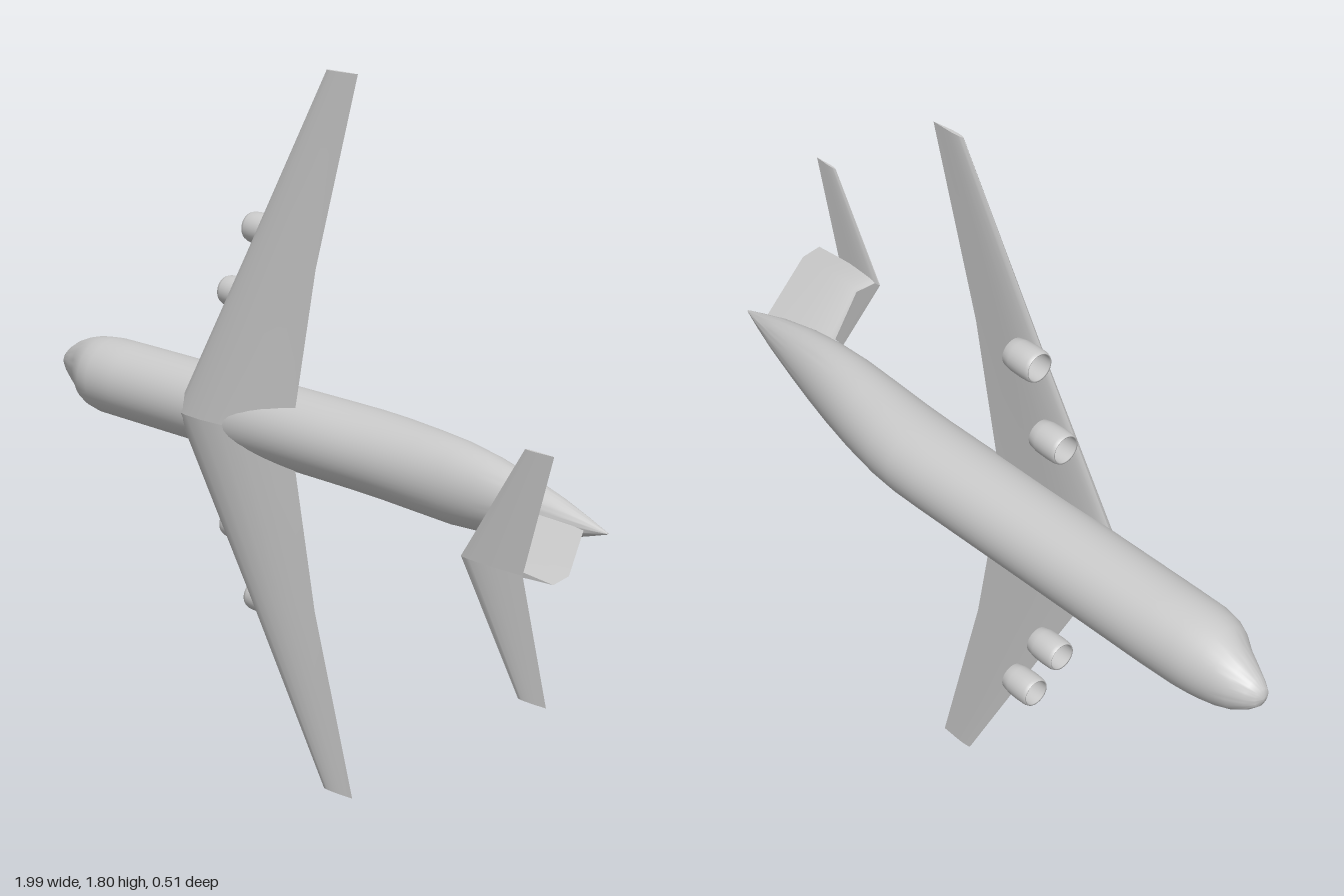
import * as THREE from 'three';
import { toCreasedNormals } from 'three/addons/utils/BufferGeometryUtils.js';

const material = new THREE.MeshStandardMaterial({ color: 0xcccccc, side: THREE.DoubleSide });

// Skin a list of equal-length rings of [x, y, z] and close both ends.
function loft(rings, crease = 0.6) {
  const n = rings[0].length;
  const pts = rings.flat();
  const idx = [];
  for (let i = 0; i < rings.length - 1; i++) {
    for (let j = 0; j < n; j++) {
      const a = i * n + j, b = i * n + (j + 1) % n;
      idx.push(a, b, a + n, b, b + n, a + n);
    }
  }
  const last = (rings.length - 1) * n;
  for (let j = 1; j < n - 1; j++) {
    idx.push(0, j + 1, j, last, last + j, last + j + 1);
  }
  // Turn the faces outwards whichever way the rings run.
  let volume = 0;
  const [a, b, c] = [new THREE.Vector3(), new THREE.Vector3(), new THREE.Vector3()];
  for (let i = 0; i < idx.length; i += 3) {
    a.fromArray(pts[idx[i]]);
    b.fromArray(pts[idx[i + 1]]);
    c.fromArray(pts[idx[i + 2]]);
    volume += a.dot(b.cross(c));
  }
  if (volume < 0) idx.reverse();
  const geo = new THREE.BufferGeometry();
  geo.setAttribute('position', new THREE.Float32BufferAttribute(pts.flat(), 3));
  geo.setIndex(idx);
  return toCreasedNormals(geo, crease);
}

// Airfoil outline: [chord fraction, thickness fraction], + is the upper side.
const FOIL = [
  [0, 0], [0.03, 0.4], [0.08, 0.66], [0.16, 0.88], [0.3, 1], [0.45, 0.92], [0.6, 0.73], [0.8, 0.38],
  [1, 0], [0.8, -0.28], [0.6, -0.6], [0.45, -0.8], [0.3, -0.9], [0.16, -0.8], [0.08, -0.6], [0.03, -0.38],
];

// Horizontal airfoil section at span position y.
const foil = (y, le, te, zLe, zTe, up, down) => FOIL.map(([t, h]) => [
  le + (te - le) * t, y, zLe + (zTe - zLe) * t + h * (h > 0 ? up : down),
]);

function createModel() {
  const group = new THREE.Group();
  const add = (name, geo) => {
    const mesh = new THREE.Mesh(geo, material);
    mesh.name = name;
    group.add(mesh);
    return mesh;
  };
  const MID = 0.9;

  // Fuselage stations along x: [x, belly z, back z, half width]
  const stations = [
    [-1, -0.157, -0.153, 0.003], [-0.993, -0.176, -0.134, 0.023], [-0.975, -0.192, -0.122, 0.04],
    [-0.94, -0.211, -0.104, 0.062], [-0.9, -0.223, -0.083, 0.078], [-0.86, -0.231, -0.055, 0.09],
    [-0.83, -0.236, -0.041, 0.095], [-0.79, -0.239, -0.034, 0.1], [-0.7, -0.243, -0.033, 0.1],
    [-0.3, -0.249, -0.034, 0.1], [0.03, -0.255, -0.034, 0.1], [0.12, -0.255, -0.034, 0.1],
    [0.2, -0.248, -0.033, 0.1], [0.32, -0.227, -0.029, 0.1], [0.43, -0.202, -0.027, 0.099],
    [0.53, -0.178, -0.028, 0.09], [0.63, -0.153, -0.033, 0.073], [0.74, -0.125, -0.047, 0.047],
    [0.82, -0.102, -0.064, 0.022], [0.88, -0.083, -0.078, 0.002],
  ];
  const SIDES = 48;
  add('fuselage', loft(stations.map(([x, lo, hi, w]) => Array.from({ length: SIDES }, (_, i) => {
    const t = (i / SIDES) * Math.PI * 2;
    return [x, MID + w * Math.cos(t), (lo + hi) / 2 + ((hi - lo) / 2) * Math.sin(t)];
  }))));

  for (const [label, s] of [['right', 1], ['left', -1]]) {
    // Swept wing with a kink in the trailing edge
    add(label + 'Wing', loft([
      foil(MID, -0.461, -0.08, -0.057, -0.075, 0.036, 0.014),
      foil(MID + s * 0.43, -0.236, -0.01, -0.08, -0.087, 0.018, 0.009),
      foil(MID + s * 0.9, 0.01, 0.105, -0.101, -0.104, 0.005, 0.004),
    ]));

    // Tailplane on top of the fin
    add(label + 'Tailplane', loft([
      foil(MID, 0.745, 0.915, 0.245, 0.246, 0.006, 0.006),
      foil(MID + s * 0.275, 0.912, 0.988, 0.246, 0.246, 0.003, 0.003),
    ]));

    // Open engine nacelles: [x, distance from the centre line]
    for (const [where, x, d] of [['Inner', -0.335, 0.303], ['Outer', -0.248, 0.477]]) {
      const profile = [
        [0.031, -0.042], [0.034, -0.042], [0.038, -0.02], [0.039, 0.01], [0.038, 0.032], [0.035, 0.041],
        [0.032, 0.04], [0.033, 0.01], [0.031, -0.042],
      ].map(([r, h]) => new THREE.Vector2(r, h));
      const engine = add(label + where + 'Engine', new THREE.LatheGeometry(profile, 32));
      engine.rotation.z = Math.PI / 2;
      engine.position.set(x, MID + s * d, -0.15);
    }
  }

  // Swept fin: [z, leading x, trailing x, half thickness]
  const fin = [[-0.06, 0.585, 0.83, 0.014], [0.18, 0.762, 0.984, 0.012], [0.243, 0.762, 0.994, 0.01]];
  add('fin', loft(fin.map(([z, le, te, w]) => FOIL.map(([t, h]) => [le + (te - le) * t, MID + h * w, z]))));

  return group;
}

export { createModel };
